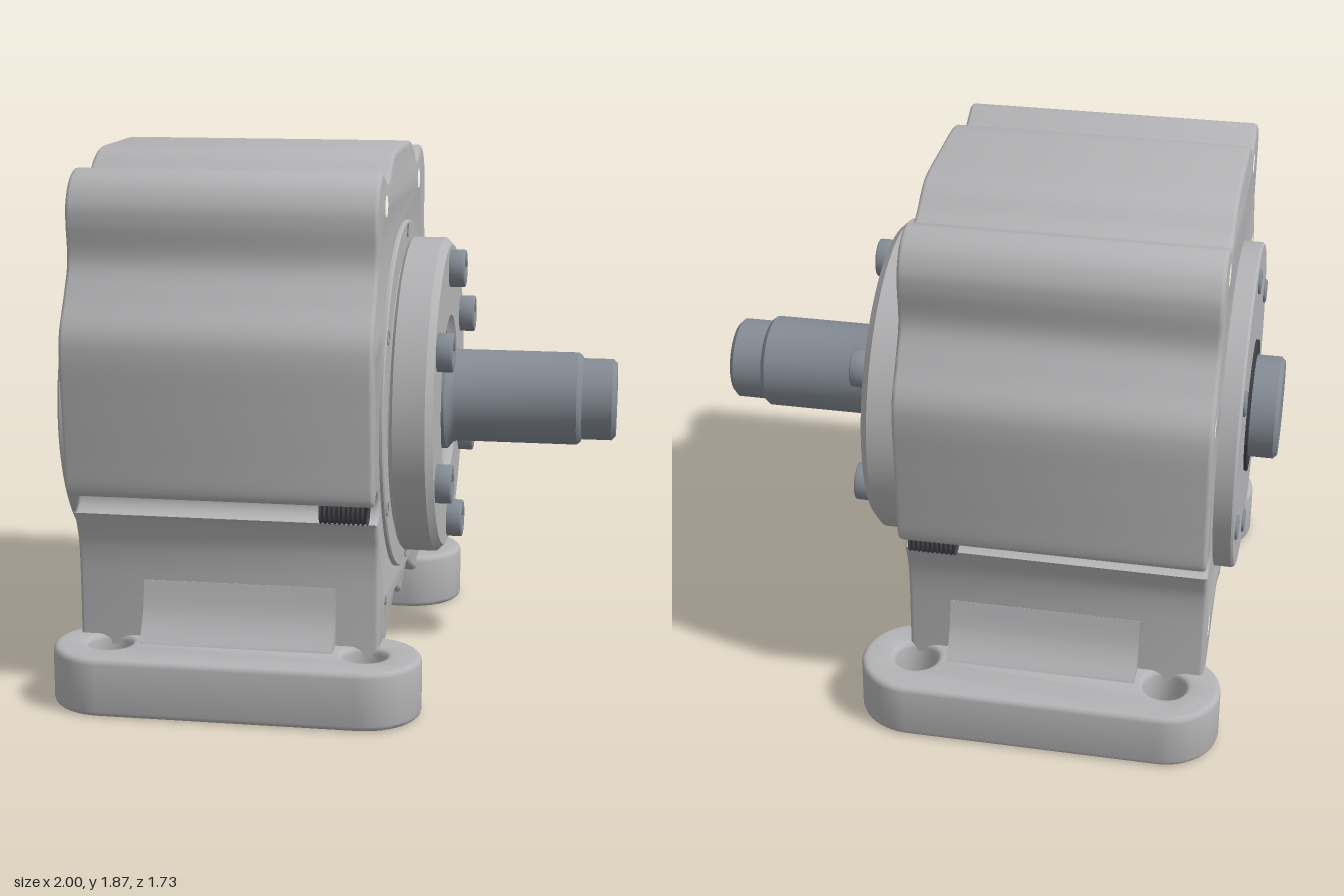
import * as THREE from 'three';
import { toCreasedNormals } from 'three/addons/utils/BufferGeometryUtils.js';

const AXIS_Y = 0.97; // height of the shaft line
const V = (x, y) => new THREE.Vector2(x, y);

export function createModel() {
  const casting = new THREE.MeshStandardMaterial({ color: 0xb4b4b6 });
  const steel = new THREE.MeshStandardMaterial({ color: 0x858c95 });
  const dark = new THREE.MeshStandardMaterial({ color: 0x3e3f44, side: THREE.DoubleSide });
  dark.name = 'dark rubber and thread';
  casting.name = 'cast grey';
  steel.name = 'blue steel';

  const model = new THREE.Group();
  model.name = 'gearbox';

  function add(parent, name, geo, mat, x = 0, y = 0, z = 0) {
    const mesh = new THREE.Mesh(toCreasedNormals(geo, 0.6), mat);
    mesh.name = name;
    mesh.position.set(x, y, z);
    parent.add(mesh);
    return mesh;
  }

  // Turned part along x from [radius, x] pairs, listed from low x to high x
  function turned(points, segments = 64) {
    return new THREE.LatheGeometry(points.map(([r, x]) => V(r, x)), segments).rotateZ(-Math.PI / 2);
  }

  // Extrusion with rounded edges kept inside the outline, starting at 0
  function extruded(shape, depth, bevel, curveSegments = 20) {
    const geo = new THREE.ExtrudeGeometry(shape, {
      depth: depth - 2 * bevel, bevelEnabled: bevel > 0, bevelSize: bevel,
      bevelThickness: bevel, bevelOffset: -bevel, bevelSegments: 3, curveSegments,
    });
    return geo.translate(0, 0, bevel);
  }

  const circle = (x, y, r) => new THREE.Path().absarc(x, y, r, 0, Math.PI * 2, true);
  const spline = (pts, n) => new THREE.SplineCurve(pts.map(p => V(...p))).getPoints(n);

  // Housing outline: one half from the top round to the bottom, then mirrored
  const upper = spline([[0, 1.865], [0.2, 1.863], [0.28, 1.84], [0.35, 1.795], [0.41, 1.775],
    [0.47, 1.798], [0.535, 1.82], [0.61, 1.785], [0.652, 1.72], [0.66, 1.65], [0.652, 1.52],
    [0.705, 1.41], [0.765, 1.31], [0.78, 1.22], [0.77, 1.06], [0.755, 0.88], [0.744, 0.765],
    [0.727, 0.735]], 100);
  const notch = [];
  for (let i = 0; i <= 20; i++) {
    const a = THREE.MathUtils.degToRad(25 + i * 12);
    notch.push(V(0.66 + 0.054 * Math.cos(a), 0.708 + 0.054 * Math.sin(a)));
  }
  const lower = spline([[0.648, 0.646], [0.632, 0.61], [0.61, 0.55], [0.6, 0.47], [0.598, 0.4]], 14);
  const base = spline([[0.475, 0.157], [0.35, 0.207], [0.23, 0.26], [0.155, 0.275],
    [0.08, 0.25], [0, 0.216]], 24);
  const half = [...upper, ...notch, ...lower, V(0.597, 0.17), ...base];
  const mirrored = half.slice(1, -1).reverse().map(p => V(-p.x, p.y));
  const outline = new THREE.Shape([...half, ...mirrored]);

  const boltHoles = [[0.455, 1.7, 0.052], [0.694, 1.27, 0.047], [0.44, 0.307, 0.05]];
  for (const s of [-1, 1])
    for (const [z, y, r] of boltHoles) outline.holes.push(circle(s * z, y, r));
  add(model, 'housing', extruded(outline, 1.05, 0.015).rotateY(Math.PI / 2), casting, -0.82);

  // Threaded inserts in the housing holes
  const thread = [];
  for (let i = 0; i <= 20; i++) thread.push([i % 2 ? 0.041 : 0.0465, 0.04 + i * 0.008]);
  for (const s of [-1, 1])
    for (const [z, y] of [...boltHoles, [0.66, 0.708]]) {
      const insert = add(model, 'threadedInsert', turned(thread, 24), dark, 0, y, s * z);
      if (y === 0.708) insert.scale.set(1, 1.14, 1.14);
    }

  // Feet with bolt holes, and the flared webs joining them to the housing
  const foot = new THREE.Shape();
  const R = 0.195, L = 0.4425;
  foot.absarc(L, 0, R, -Math.PI / 2, Math.PI / 2, false);
  foot.absarc(-L, 0, R, Math.PI / 2, Math.PI * 1.5, false);
  foot.holes.push(circle(L, 0, 0.075), circle(-L, 0, 0.075));
  for (const s of [-1, 1]) {
    add(model, 'foot', extruded(foot, 0.205, 0.02).rotateX(-Math.PI / 2), casting, -0.2525, 0, s * 0.67);
    const web = new THREE.Shape([V(s * 0.55, 0.19), V(s * 0.69, 0.19),
      ...spline([[0.685, 0.205], [0.645, 0.26], [0.618, 0.32], [0.599, 0.41]], 12).map(p => V(s * p.x, p.y)),
      V(s * 0.55, 0.41)]);
    add(model, 'footWeb', extruded(web, 0.67, 0).rotateY(Math.PI / 2), casting, -0.59);
  }

  // Output side: locating plate, bearing cover and seal
  add(model, 'locatingPlate', turned([[0, 0.2], [0.625, 0.2], [0.625, 0.24], [0.62, 0.245], [0, 0.245]], 96), casting, 0, AXIS_Y);
  add(model, 'outputCover', turned([[0, 0.24], [0.52, 0.24], [0.52, 0.255], [0.555, 0.255], [0.565, 0.265],
    [0.565, 0.375], [0.54, 0.4], [0.287, 0.4], [0.265, 0.38], [0.25, 0.375], [0.25, 0.32], [0, 0.32]], 96), casting, 0, AXIS_Y);
  add(model, 'outputSeal', turned([[0, 0.31], [0.25, 0.31], [0.25, 0.335], [0, 0.335]]), dark, 0, AXIS_Y);
  add(model, 'bearingRing', turned([[0.212, 0.32], [0.238, 0.32], [0.238, 0.37], [0.212, 0.37], [0.212, 0.32]]), casting, 0, AXIS_Y);

  // Input side: rear cover and seal
  add(model, 'rearCover', turned([[0, -0.89], [0.572, -0.89], [0.58, -0.882], [0.58, -0.81], [0, -0.81]], 96), casting, 0, AXIS_Y);
  add(model, 'rearSeal', turned([[0, -0.9], [0.235, -0.9], [0.235, -0.885], [0, -0.885]]), dark, 0, AXIS_Y);

  // Shafts with chamfered steps and a centre drilling
  add(model, 'outputShaft', turned([[0, 0.3], [0.195, 0.3], [0.195, 0.4], [0.17, 0.42], [0.165, 0.435],
    [0.165, 0.862], [0.155, 0.875], [0.145, 0.88], [0.145, 0.985], [0.13, 1], [0.048, 1], [0, 0.96]]), steel, 0, AXIS_Y);
  add(model, 'inputShaft', turned([[0, -1], [0.168, -1], [0.182, -0.986], [0.182, -0.88], [0, -0.88]]), steel, 0, AXIS_Y);

  // Socket head bolts, built pointing along +x
  const headShape = (r, hex) => {
    const shape = new THREE.Shape().absarc(0, 0, r, 0, Math.PI * 2, false);
    const pts = [];
    for (let i = 0; i < 6; i++) pts.push(V(hex * Math.cos(-i * Math.PI / 3), hex * Math.sin(-i * Math.PI / 3)));
    shape.holes.push(new THREE.Path(pts));
    return shape;
  };
  function bolt(r, height) {
    const group = new THREE.Group();
    group.name = 'socketBolt';
    add(group, 'boltHead', extruded(headShape(r, r * 0.52), height, 0.006, 12).rotateY(Math.PI / 2), steel);
    add(group, 'socketFloor', turned([[0, 0], [r * 0.7, 0], [r * 0.7, height * 0.4], [0, height * 0.4]], 16), steel);
    return group;
  }
  for (let i = 0; i < 6; i++) {
    const a = Math.PI / 2 + i * Math.PI / 3;
    const c = Math.cos(a), s = Math.sin(a);
    const front = bolt(0.067, 0.06);
    front.position.set(0.395, AXIS_Y + 0.46 * s, 0.46 * c);
    const rear = bolt(0.043, 0.014);
    rear.rotation.y = Math.PI;
    rear.position.set(-0.886, AXIS_Y + 0.49 * s, 0.49 * c);
    model.add(front, rear);
    // Small tapped holes round the plate rim
    add(model, 'rimHole', turned([[0.019, 0], [0.025, 0], [0.025, 0.004], [0.019, 0.004], [0.019, 0]], 20),
      steel, 0.243, AXIS_Y + 0.593 * s, 0.593 * c);
  }
  return model;
}
